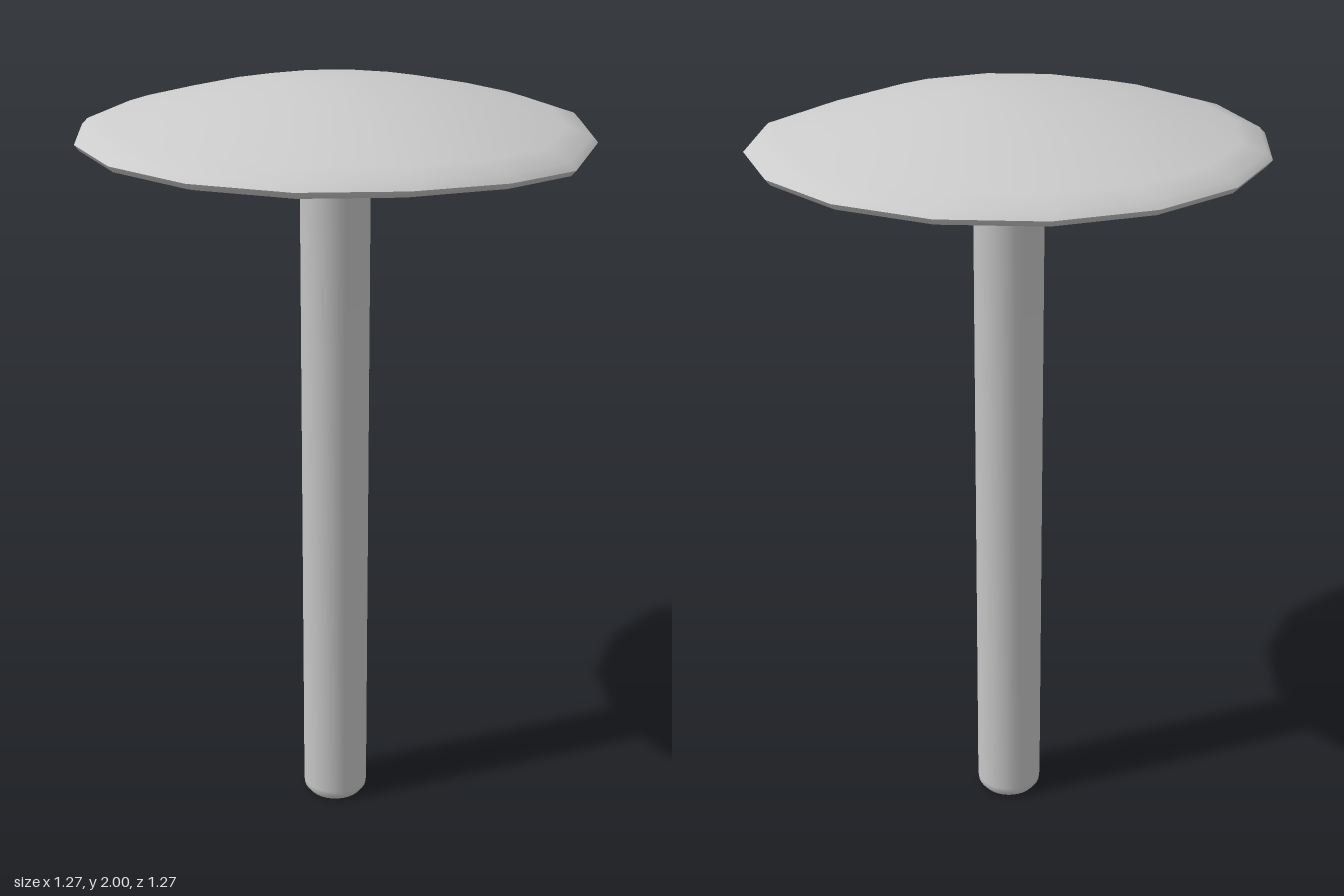
import * as THREE from 'three';
import { toCreasedNormals } from 'three/addons/utils/BufferGeometryUtils.js';

const SIDES = 16;
const START = -0.047; // slight twist of the rim corners
const RIM = 0.637;
const material = new THREE.MeshStandardMaterial({ color: 0xcccccc });
const thin = new THREE.MeshStandardMaterial({ color: 0xcccccc, side: THREE.DoubleSide });

const profile = (pairs) => pairs.map(([r, y]) => new THREE.Vector2(r, y));

// Let one corner of the cap hang lower than the rest.
function droop(geometry) {
  const p = geometry.attributes.position;
  for (let i = 0; i < p.count; i++) {
    const x = p.getX(i), z = p.getZ(i);
    const r = Math.hypot(x, z) / RIM;
    const d = Math.atan2(x, z) - 0.74;
    const fall = Math.exp(-((d / 0.4) ** 2)) * r ** 3;
    p.setY(i, p.getY(i) - 0.024 * fall);
  }
  geometry.computeVertexNormals();
  return geometry;
}

function addMesh(parent, name, geometry, mat = material) {
  const mesh = new THREE.Mesh(geometry, mat);
  mesh.name = name;
  parent.add(mesh);
  return mesh;
}

export function createModel() {
  const model = new THREE.Group();
  model.name = 'mushroom';

  // Stem with a softened foot and a small flare under the cap
  const stem = new THREE.LatheGeometry(profile([
    [0, 0], [0.075, 0], [0.086, 0.014], [0.088, 0.03],
    [0.088, 1.83], [0.092, 1.848], [0.105, 1.862], [0.105, 1.91],
  ]), 32);
  addMesh(model, 'stem', toCreasedNormals(stem, 0.7));

  const cap = new THREE.Group();
  cap.name = 'cap';
  model.add(cap);

  // Domed top that rolls around the rim
  const dome = new THREE.LatheGeometry(profile([
    [0.6, 1.851], [0.625, 1.858], [RIM, 1.873], [0.622, 1.888], [0.56, 1.908],
    [0.42, 1.945], [0.27, 1.976], [0.13, 1.994], [0, 2],
  ]), SIDES, START);
  addMesh(cap, 'capTop', toCreasedNormals(droop(dome), 0.9), thin);

  // Recessed underside
  const under = new THREE.LatheGeometry(profile([
    [0.08, 1.895], [0.35, 1.89], [0.52, 1.875], [0.6, 1.851],
  ]), SIDES, START);
  addMesh(cap, 'capUnderside', droop(under), thin);

  // Radial gills, one to each corner of the rim
  const blade = new THREE.Shape(profile([
    [0.07, 1.9], [0.07, 1.848], [0.12, 1.856], [0.595, 1.853], [0.52, 1.88], [0.35, 1.895],
  ]));
  const gills = new THREE.Group();
  gills.name = 'gills';
  cap.add(gills);
  for (let i = 0; i < SIDES; i++) {
    const geometry = new THREE.ExtrudeGeometry(blade, { depth: 0.014, bevelEnabled: false });
    geometry.translate(0, 0, -0.007);
    geometry.rotateY(START + (i / SIDES) * Math.PI * 2 - Math.PI / 2);
    addMesh(gills, 'gill', droop(geometry));
  }

  return model;
}
